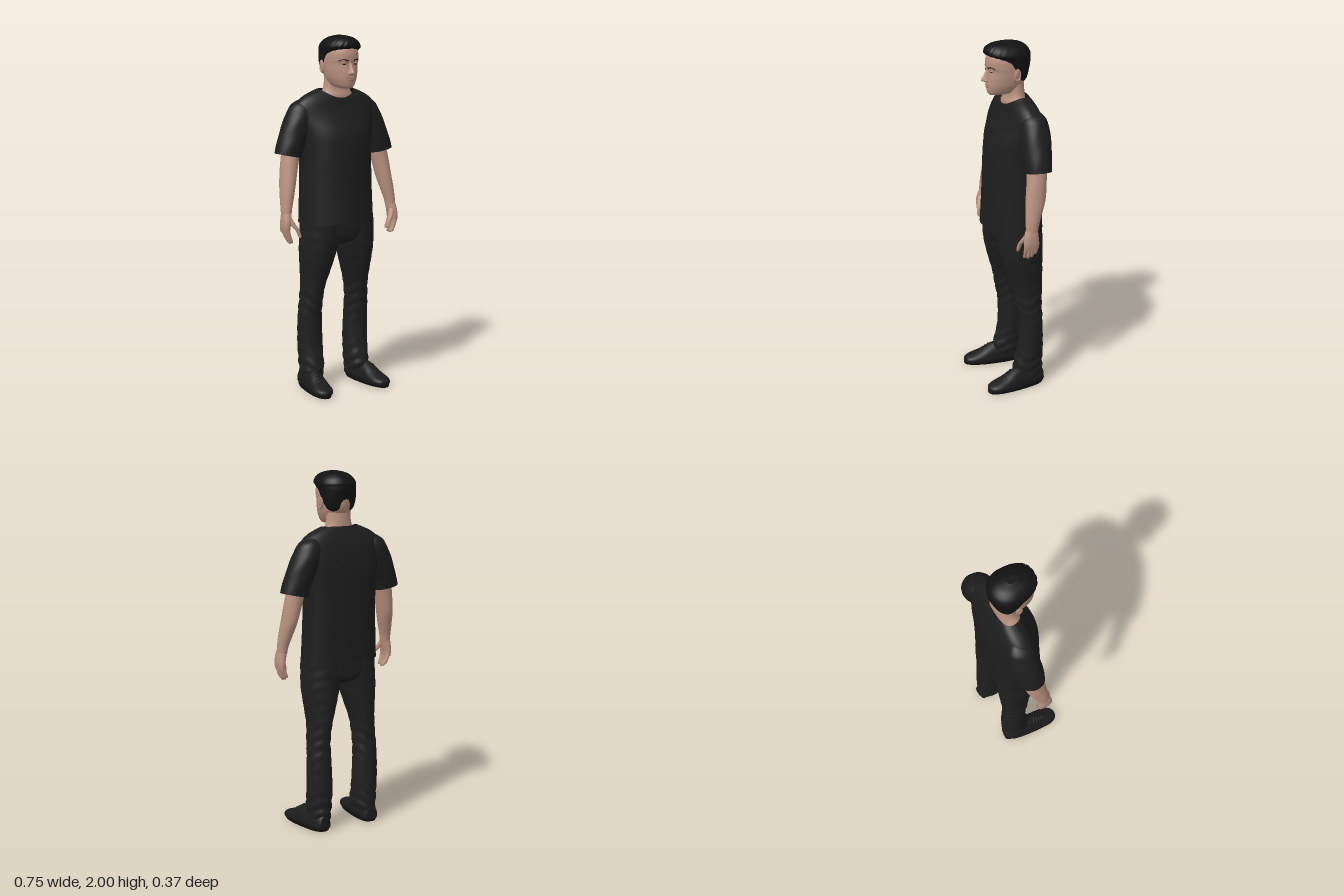
import * as THREE from 'three';

const material = (name, color, side = THREE.FrontSide) => {
  const m = new THREE.MeshStandardMaterial({ color, side });
  m.name = name;
  return m;
};

// Smooth value between control rings
const spline = (a, b, c, d, t) =>
  b + 0.5 * t * (c - a + t * (2 * a - 5 * b + 4 * c - d + t * (3 * (b - c) + d - a)));

// Lofts rings [y, centreX, centreZ, halfWidth, frontDepth, backDepth, frontDip], listed upwards.
// front/back set squareness, tilt slopes the rings sideways, fold adds cloth or hair ridges.
function loft(rings, { seg = 32, sub = 5, front = 2, back = 2, tilt = 0, fold = null, openTop = false } = {}) {
  const pos = [], idx = [], rows = (rings.length - 1) * sub;
  const ring = (k) => rings[Math.max(0, Math.min(rings.length - 1, k))];
  const power = (v, n) => Math.sign(v) * Math.abs(v) ** (2 / n);
  const addRow = (r) => {
    const k = Math.min(Math.floor(r / sub), rings.length - 2), t = r / sub - k;
    const p = [0, 1, 2, 3, 4, 5, 6].map((q) =>
      spline(ring(k - 1)[q] || 0, ring(k)[q] || 0, ring(k + 1)[q] || 0, ring(k + 2)[q] || 0, t));
    for (let j = 0; j < seg; j++) {
      const a = (j / seg) * Math.PI * 2, c = Math.cos(a), s = Math.sin(a);
      const n = s > 0 ? front : back, g = 1 + (fold ? fold(p[0], a) : 0);
      const dx = p[3] * power(c, n) * g;
      const dz = (s > 0 ? p[4] : p[5]) * power(s, n) * g;
      pos.push(p[1] + dx, p[0] + tilt * dx - (p[6] || 0) * Math.max(0, s) ** 2, p[2] + dz);
    }
    return p;
  };
  for (let r = 0; r <= rows; r++) addRow(r);
  for (let r = 0; r < rows; r++) for (let j = 0; j < seg; j++) {
    const a = r * seg + j, b = r * seg + (j + 1) % seg;
    idx.push(a, a + seg, b, b, a + seg, b + seg);
  }
  const cap = (r, top) => {
    const start = pos.length / 3, p = addRow(r), mid = start + seg;
    pos.push(p[1], p[0], p[2]);
    for (let j = 0; j < seg; j++) {
      const a = start + j, b = start + (j + 1) % seg;
      idx.push(mid, top ? b : a, top ? a : b);
    }
  };
  cap(0, false);
  if (!openTop) cap(rows, true);
  const geo = new THREE.BufferGeometry();
  geo.setAttribute('position', new THREE.Float32BufferAttribute(pos, 3));
  geo.setIndex(idx);
  geo.computeVertexNormals();
  return geo;
}

export function createModel() {
  const model = new THREE.Group();
  const skin = material('skin', 0xb8917f);
  const lipTone = material('lips', 0xa3766a);
  const hair = material('hair', 0x121212);
  const shirt = material('shirt cloth', 0x1d1d1d, THREE.DoubleSide);
  const denim = material('trouser cloth', 0x1f1f1f);
  const leather = material('shoe', 0x1c1c1c);
  const rubber = material('sole', 0x111111);
  const add = (name, geo, mat) => {
    const m = new THREE.Mesh(geo, mat);
    m.name = name;
    model.add(m);
    return m;
  };
  const tube = (points, r) => new THREE.TubeGeometry(
    new THREE.CatmullRomCurve3(points.map((p) => new THREE.Vector3(...p))), 12, r, 6);
  const ball = (x, y, z, rx, ry, rz) =>
    new THREE.SphereGeometry(1, 20, 14).scale(rx, ry, rz).translate(x, y, z);

  // Shirt body
  add('shirt', loft([
    [0.96, 0, -0.06, 0.222, 0.195, 0.12], [1.08, 0, -0.06, 0.217, 0.188, 0.12],
    [1.2, 0, -0.06, 0.213, 0.182, 0.122], [1.35, 0, -0.06, 0.213, 0.175, 0.124],
    [1.46, 0, -0.06, 0.222, 0.16, 0.126], [1.55, 0, -0.06, 0.24, 0.118, 0.115],
    [1.62, 0, -0.06, 0.245, 0.09, 0.095, 0.01], [1.668, 0, -0.06, 0.195, 0.08, 0.075, 0.025],
    [1.705, 0, -0.06, 0.11, 0.075, 0.055, 0.048],
  ], {
    seg: 64, back: 2.7, openTop: true,
    fold: (y, a) => 0.008 * Math.sin(a * 9 + y * 5) * Math.max(0, 1.5 - y),
  }), shirt);

  // Neck
  add('neck', loft([
    [1.63, 0, -0.06, 0.12, 0.07, 0.05], [1.67, 0, -0.055, 0.103, 0.065, 0.052],
    [1.7, 0, -0.05, 0.083, 0.052, 0.058], [1.74, 0, -0.05, 0.073, 0.052, 0.055],
    [1.81, 0, -0.05, 0.07, 0.05, 0.05],
  ]), skin);

  // Head
  add('head', loft([
    [1.712, 0, 0.045, 0.025, 0.043, 0.04], [1.724, 0, 0.01, 0.052, 0.09, 0.065],
    [1.76, 0, -0.01, 0.075, 0.117, 0.08], [1.8, 0, -0.02, 0.087, 0.127, 0.1],
    [1.845, 0, -0.02, 0.093, 0.121, 0.11], [1.868, 0, -0.02, 0.095, 0.128, 0.11],
    [1.91, 0, -0.02, 0.094, 0.126, 0.11], [1.95, 0, -0.02, 0.08, 0.105, 0.1],
    [1.975, 0, -0.02, 0.05, 0.07, 0.07],
  ], { seg: 40, front: 2.15 }), skin);
  add('nose', loft([
    [1.784, 0, 0.1, 0.014, 0.014, 0.01], [1.793, 0, 0.1, 0.02, 0.036, 0.01],
    [1.802, 0, 0.1, 0.017, 0.039, 0.01], [1.825, 0, 0.095, 0.011, 0.029, 0.01],
    [1.852, 0, 0.09, 0.009, 0.019, 0.01], [1.875, 0, 0.09, 0.012, 0.016, 0.01],
  ], { seg: 16 }), skin);
  add('upperLip', ball(0, 1.768, 0.102, 0.025, 0.005, 0.011), lipTone);
  add('lowerLip', ball(0, 1.758, 0.1, 0.021, 0.006, 0.011), lipTone);
  add('chin', ball(0, 1.731, 0.084, 0.026, 0.015, 0.017), skin);

  // Hair cap, short behind the temples and full above the hairline
  add('hair', loft([
    [1.775, 0, -0.07, 0.05, 0.02, 0.025], [1.8, 0, -0.065, 0.08, 0.025, 0.052],
    [1.845, 0, -0.055, 0.098, 0.055, 0.074], [1.895, 0, -0.04, 0.104, 0.08, 0.1],
    [1.922, 0, -0.03, 0.107, 0.115, 0.11], [1.938, 0, -0.03, 0.106, 0.144, 0.109],
    [1.965, 0, -0.025, 0.091, 0.134, 0.098], [1.988, 0, -0.02, 0.06, 0.098, 0.07],
    [2.0, 0, -0.015, 0.02, 0.035, 0.025],
  ], {
    seg: 96, front: 2.4,
    fold: (y, a) => 0.014 * Math.max(0, Math.sin(a)) * Math.sin(a * 22 + y * 90),
  }), hair);

  // Waist of the trousers
  add('trouserSeat', loft([
    [0.835, 0, -0.05, 0.05, 0.07, 0.08], [0.862, 0, -0.045, 0.16, 0.115, 0.12],
    [0.91, 0, -0.04, 0.214, 0.13, 0.132], [0.98, 0, -0.04, 0.214, 0.135, 0.132],
  ], { seg: 40, back: 2.4 }), denim);

  for (const s of [1, -1]) {
    const side = s > 0 ? 'left' : 'right';
    const flip = (rings) => rings.map(([y, x, ...rest]) => [y, x * s, ...rest]);
    const part = (name, rings, mat, opts = {}) => add(side + name, loft(flip(rings), opts), mat);

    // Face details and ear
    add(side + 'Brow', tube([[0.017 * s, 1.864, 0.106], [0.04 * s, 1.871, 0.097], [0.062 * s, 1.864, 0.08]], 0.0035), hair);
    add(side + 'Eye', ball(0.035 * s, 1.845, 0.094, 0.013, 0.0035, 0.006), hair);
    add(side + 'EyeLid', ball(0.035 * s, 1.851, 0.092, 0.017, 0.005, 0.009), skin);
    add(side + 'Nostril', ball(0.015 * s, 1.793, 0.11, 0.008, 0.007, 0.01), skin);
    const ear = add(side + 'Ear', ball(0, 0, 0, 0.009, 0.036, 0.02), skin);
    ear.position.set(0.1 * s, 1.828, -0.028);
    ear.rotation.set(-0.15, 0.3 * s, -0.12 * s);
    add(side + 'EarRim', new THREE.TorusGeometry(0.016, 0.004, 8, 20).scale(1, 1.8, 1)
      .rotateY(Math.PI / 2).translate(0.105 * s, 1.832, -0.03), skin);

    // Sleeve and bare arm
    part('Sleeve', [
      [1.345, 0.298, -0.072, 0.075, 0.075, 0.07], [1.4, 0.281, -0.073, 0.076, 0.078, 0.074],
      [1.48, 0.25, -0.077, 0.078, 0.08, 0.082], [1.555, 0.218, -0.08, 0.076, 0.078, 0.08],
      [1.61, 0.2, -0.08, 0.062, 0.064, 0.07], [1.645, 0.18, -0.08, 0.03, 0.035, 0.04],
    ], shirt, { tilt: 0.2 * s, fold: (y, a) => 0.01 * Math.sin(a * 4 + y * 45) });
    part('Arm', [
      [1.015, 0.343, -0.012, 0.027, 0.032, 0.034], [1.06, 0.339, -0.018, 0.03, 0.037, 0.038],
      [1.12, 0.329, -0.03, 0.037, 0.046, 0.046], [1.2, 0.314, -0.047, 0.043, 0.056, 0.056],
      [1.3, 0.296, -0.06, 0.049, 0.055, 0.055], [1.42, 0.27, -0.072, 0.052, 0.055, 0.055],
    ], skin);

    // Hand with curled fingers and thumb
    part('Palm', [
      [0.93, 0.352, -0.008, 0.017, 0.038, 0.042], [0.96, 0.353, -0.007, 0.021, 0.043, 0.045],
      [1.0, 0.348, -0.008, 0.025, 0.04, 0.041], [1.035, 0.342, -0.012, 0.026, 0.032, 0.034],
    ], skin, { seg: 20, front: 2.4, back: 2.4 });
    for (let f = 0; f < 4; f++) {
      const z = 0.023 - f * 0.021, tip = [0.872, 0.865, 0.87, 0.885][f];
      part('Finger', [
        [tip, 0.328, z, 0.003, 0.003, 0.003], [tip + 0.008, 0.331, z, 0.009, 0.009, 0.009],
        [tip + 0.035, 0.342, z, 0.0105, 0.0105, 0.0105], [0.95, 0.354, z, 0.012, 0.0115, 0.0115],
      ], skin, { seg: 10, sub: 4 });
    }
    part('Thumb', [
      [0.9, 0.288, 0.046, 0.003, 0.003, 0.003], [0.908, 0.29, 0.045, 0.009, 0.009, 0.009],
      [0.945, 0.302, 0.039, 0.012, 0.012, 0.012], [0.975, 0.322, 0.025, 0.016, 0.017, 0.017],
      [1.01, 0.338, 0.008, 0.016, 0.017, 0.017],
    ], skin, { seg: 12, sub: 4 });

    // Trouser leg, creased at the knee and bunched at the ankle
    part('TrouserLeg', [
      [0.06, 0.152, -0.075, 0.06, 0.075, 0.088], [0.12, 0.15, -0.075, 0.065, 0.083, 0.09],
      [0.25, 0.151, -0.085, 0.071, 0.065, 0.082], [0.4, 0.153, -0.085, 0.068, 0.063, 0.077],
      [0.5, 0.151, -0.078, 0.062, 0.075, 0.08], [0.6, 0.142, -0.07, 0.063, 0.088, 0.094],
      [0.7, 0.131, -0.06, 0.081, 0.108, 0.107], [0.8, 0.121, -0.05, 0.1, 0.124, 0.119],
      [0.87, 0.113, -0.045, 0.107, 0.13, 0.126], [0.97, 0.11, -0.04, 0.105, 0.132, 0.13],
    ], denim, {
      seg: 40, sub: 12, back: 2.2,
      fold: (y, a) => Math.sin(y * 95 + Math.sin(a * 2 + s) * 2.5)
        * (0.025 * Math.exp(-(((y - 0.5) / 0.09) ** 2)) + 0.04 * Math.exp(-(((y - 0.12) / 0.07) ** 2)) + 0.006),
    });

    // Shoe, lofted heel to toe and laid flat, on a thin sole
    const shoe = new THREE.Group();
    shoe.name = side + 'Shoe';
    const piece = (name, geo, mat) => {
      const m = new THREE.Mesh(geo, mat);
      m.name = name;
      shoe.add(m);
    };
    piece('shoeUpper', loft([
      [-0.166, 0, -0.03, 0.025, 0.015, 0.045], [-0.155, 0, -0.03, 0.042, 0.022, 0.065],
      [-0.1, 0, -0.03, 0.05, 0.025, 0.075], [-0.02, 0, -0.03, 0.052, 0.025, 0.09],
      [0.03, 0, -0.03, 0.055, 0.025, 0.078], [0.08, 0, -0.03, 0.058, 0.025, 0.05],
      [0.13, 0, -0.03, 0.055, 0.025, 0.03], [0.168, 0, -0.028, 0.038, 0.02, 0.018],
      [0.183, 0, -0.025, 0.012, 0.012, 0.008],
    ], { front: 3 }).rotateX(Math.PI / 2), leather);
    piece('sole', loft([
      [0, 0, 0.01, 0.055, 0.172, 0.174], [0.012, 0, 0.01, 0.059, 0.176, 0.177],
      [0.024, 0, 0.01, 0.058, 0.174, 0.175],
    ], { front: 2.3, back: 2.8 }), rubber);
    for (let l = 0; l < 4; l++) {
      const z = 0.03 + l * 0.019, y = 0.11 - l * 0.0105;
      piece('lace', tube([[-0.03, y - 0.014, z], [0, y, z + 0.004], [0.03, y - 0.014, z]], 0.0035), leather);
    }
    shoe.position.set(0.175 * s, 0, 0);
    shoe.rotation.y = 0.12 * s;
    model.add(shoe);
  }
  return model;
}
